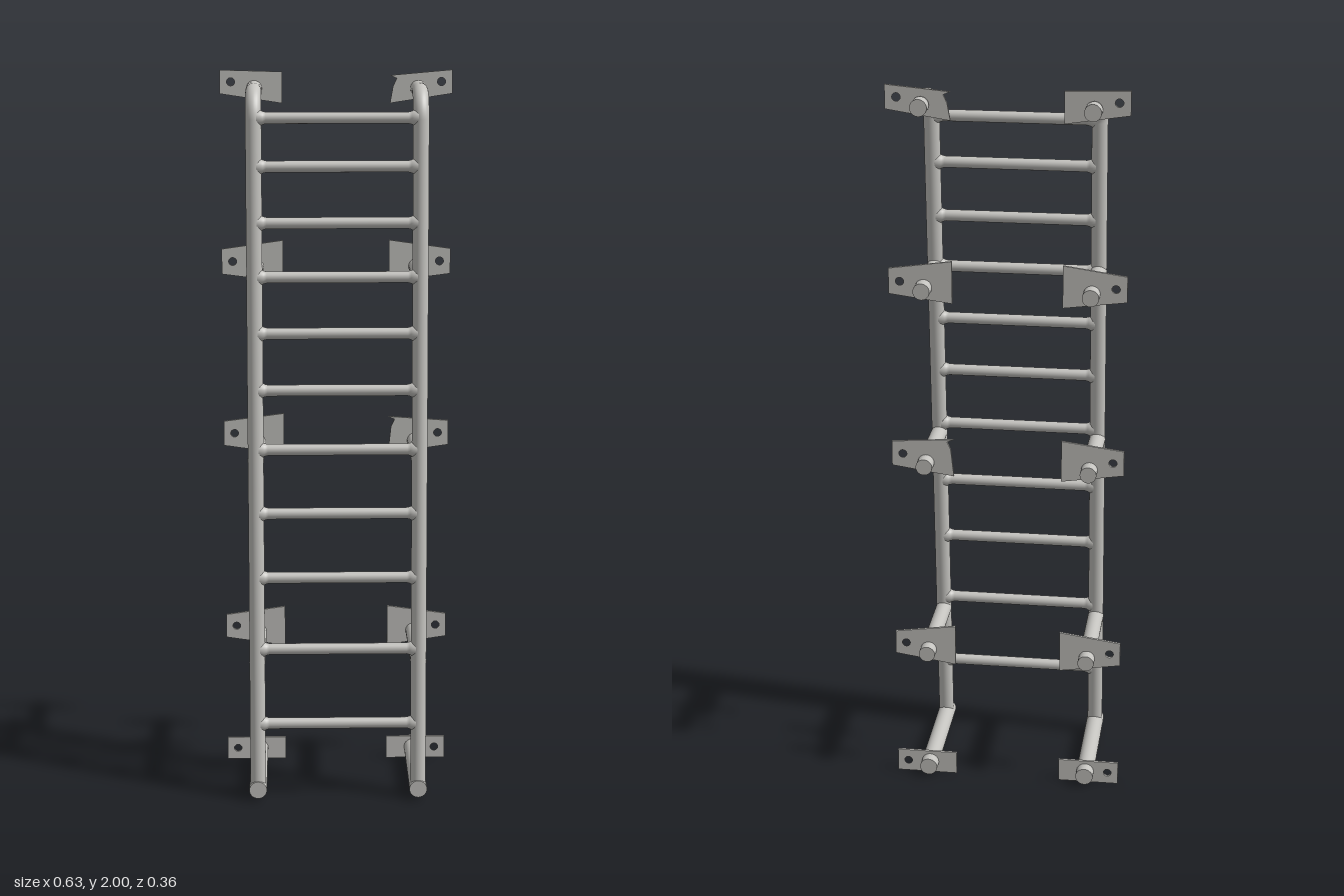
import * as THREE from 'three';

const RAIL_X = 0.2235, RAIL_R = 0.0215, BACK_Z = -0.18, TOP_Y = 1.95;
// the rails lean back as they rise
const railZ = (y) => 0.155 - 0.067 * y;

// height, tube radius, plate z, then plate outer bottom/top and inner bottom/top
const MOUNTS = [
  { y: 0.035, r: 0.0245, z: -0.145, outer: [0.002, 0.068], inner: [0.002, 0.068] },
  { y: 0.395, r: 0.0225, z: -0.143, outer: [0.378, 0.446], inner: [0.352, 0.47] },
  { y: 0.962, r: 0.0225, z: -0.139, outer: [0.95, 1.02], inner: [0.925, 1.042] },
  { y: 1.46, r: 0.0225, z: -0.137, outer: [1.44, 1.51], inner: [1.418, 1.534] },
  { y: TOP_Y, r: 0.0225, z: -0.135, outer: [1.936, 2.0], inner: [1.91, 1.995] },
];
const RUNGS = [0.22, 0.433, 0.635, 0.815, 0.992, 1.155, 1.31, 1.462, 1.607, 1.757, 1.885];

export function createModel() {
  const model = new THREE.Group();
  model.name = 'wallLadder';
  const steel = new THREE.MeshStandardMaterial({ color: 0xc4c3bf });
  steel.name = 'pale grey steel';

  const add = (geometry, name, parent = model) => {
    const mesh = new THREE.Mesh(geometry, steel);
    mesh.name = name;
    parent.add(mesh);
    return mesh;
  };

  // straight round bar between two points
  const bar = (a, b, r, name, parent) => {
    const dir = b.clone().sub(a);
    const mesh = add(new THREE.CylinderGeometry(r, r, dir.length(), 28), name, parent);
    mesh.position.copy(a).add(b).multiplyScalar(0.5);
    mesh.quaternion.setFromUnitVectors(new THREE.Vector3(0, 1, 0), dir.normalize());
    return mesh;
  };

  // tapered wall plate with a bolt hole, wider towards the ladder centre
  const plateGeometry = (side, { outer, inner }, notched) => {
    const xo = side * 0.317, xi = side * 0.147;
    const shape = new THREE.Shape();
    shape.moveTo(xo, outer[0]);
    shape.lineTo(xi, inner[0]);
    if (notched) {
      shape.lineTo(side * 0.155, inner[1] - 0.04);
      shape.lineTo(side * 0.165, inner[1] - 0.018);
      shape.lineTo(xi, inner[1] - 0.01);
    } else shape.lineTo(xi, inner[1]);
    shape.lineTo(xo, outer[1]);
    shape.closePath();
    const hole = new THREE.Path();
    hole.absarc(side * 0.287, (outer[0] + outer[1]) / 2, 0.011, 0, Math.PI * 2, true);
    shape.holes.push(hole);
    return new THREE.ExtrudeGeometry(shape, { depth: 0.007, bevelEnabled: false, curveSegments: 16 });
  };

  for (const side of [1, -1]) {
    const x = side * RAIL_X;
    const p = (y, z) => new THREE.Vector3(x, y, z);

    // side rail: leaning bar, elbow, and top return to the wall
    const rail = new THREE.Group();
    rail.name = side > 0 ? 'leftRail' : 'rightRail';
    model.add(rail);
    const bendStart = p(1.88, railZ(1.88)), corner = p(TOP_Y, railZ(TOP_Y)), bendEnd = p(TOP_Y, -0.045);
    bar(p(0.03, railZ(0.03)), bendStart, RAIL_R, 'railBar', rail);
    const bend = new THREE.CubicBezierCurve3(
      bendStart, bendStart.clone().lerp(corner, 0.56), bendEnd.clone().lerp(corner, 0.56), bendEnd);
    add(new THREE.TubeGeometry(bend, 16, RAIL_R, 28), 'railElbow', rail);
    bar(bendEnd, p(TOP_Y, BACK_Z), RAIL_R, 'railTopReturn', rail);

    // wall mounts: standoff tube and plate
    MOUNTS.forEach((m, i) => {
      const mount = new THREE.Group();
      mount.name = (side > 0 ? 'leftMount' : 'rightMount') + (i + 1);
      model.add(mount);
      const top = i === MOUNTS.length - 1;
      const frontZ = i === 0 ? 0.176 : top ? -0.145 : railZ(m.y);
      bar(p(m.y, frontZ), p(m.y, BACK_Z), m.r, 'standoff', mount);
      const notched = side > 0 && (top || i === 2);
      add(plateGeometry(side, m, notched), 'wallPlate', mount).position.z = m.z - 0.0035;
    });
  }

  // rungs with small weld flares at each end
  const r = 0.0155, flare = 0.021;
  const profile = [
    [flare, -0.216], [flare, -0.205], [0.0175, -0.198], [r, -0.19],
    [r, 0.19], [0.0175, 0.198], [flare, 0.205], [flare, 0.216],
  ].map(([a, b]) => new THREE.Vector2(a, b));
  const rungGeometry = new THREE.LatheGeometry(profile, 24);
  RUNGS.forEach((y, i) => {
    const rung = add(rungGeometry, 'rung' + (i + 1));
    rung.rotation.z = Math.PI / 2;
    rung.position.set(0, y, railZ(y));
  });

  return model;
}
